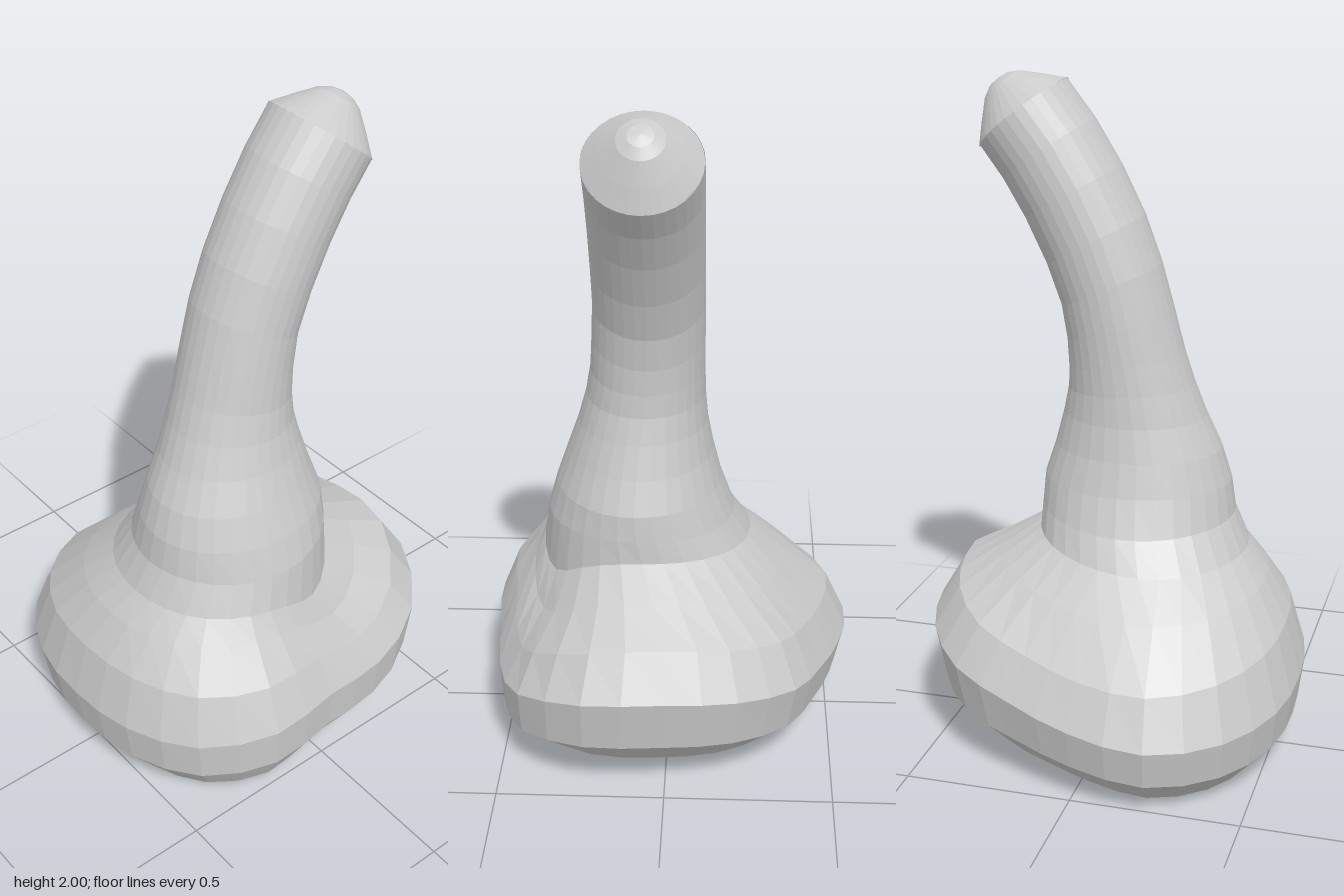
import * as THREE from 'three';

const SIDES = 32;

// Plan outline of the base: radii every 22.5 degrees from +x towards +z
const OUTLINE = [0.535, 0.6, 0.622, 0.596, 0.576, 0.592, 0.612, 0.604,
  0.53, 0.505, 0.54, 0.555, 0.567, 0.612, 0.61, 0.557];
const outline = new THREE.CatmullRomCurve3(OUTLINE.map((r, i) => {
  const t = (i / OUTLINE.length) * Math.PI * 2;
  return new THREE.Vector3(r * Math.cos(t) / 0.562, 0, r * Math.sin(t) / 0.578);
}), true);

// Closed ring from its four extremes: [front z, y], [back z, y], [left x, y], [right x, y].
// w blends an ellipse into the plan outline; dip lowers the hollow at the back of the +x side.
function ring([fz, fy, bz, by, lx, ly, rx, ry, w = 0, dip = 0]) {
  const pts = [];
  const cx = (lx + rx) / 2, cz = (fz + bz) / 2;
  const mean = (fy + by + ly + ry) / 4, q = (fy + by - ly - ry) / 4;
  for (let j = 0; j < SIDES; j++) {
    const t = (j / SIDES) * Math.PI * 2, c = Math.cos(t), s = Math.sin(t);
    const u = outline.getPoint(j / SIDES);
    const off = Math.atan2(Math.sin(t + 0.52), Math.cos(t + 0.52)) / 0.5;
    pts.push(new THREE.Vector3(
      cx + (rx - lx) / 2 * THREE.MathUtils.lerp(c, u.x, w),
      mean + (fy - by) / 2 * s + (ry - ly) / 2 * c + q * (s * s - c * c) - dip * Math.exp(-off * off),
      cz + (fz - bz) / 2 * THREE.MathUtils.lerp(s, u.z, w)));
  }
  return pts;
}

// Skin a stack of rings, optionally closing the first one.
function loft(rows, closeBottom) {
  const rings = rows.map(ring), pos = [], idx = [];
  rings.forEach(r => r.forEach(p => pos.push(p.x, p.y, p.z)));
  for (let i = 0; i < rings.length - 1; i++) {
    for (let j = 0; j < SIDES; j++) {
      const n = (j + 1) % SIDES;
      const a = i * SIDES + j, b = i * SIDES + n, c = b + SIDES, d = a + SIDES;
      idx.push(a, d, c, a, c, b);
    }
  }
  if (closeBottom) {
    const mid = pos.length / 3;
    const m = rings[0].reduce((v, p) => v.add(p), new THREE.Vector3()).divideScalar(SIDES);
    pos.push(m.x, m.y, m.z);
    for (let j = 0; j < SIDES; j++) idx.push(mid, j, (j + 1) % SIDES);
  }
  const g = new THREE.BufferGeometry();
  g.setAttribute('position', new THREE.Float32BufferAttribute(pos, 3));
  g.setIndex(idx);
  g.computeVertexNormals();
  return g;
}

export function createModel() {
  const group = new THREE.Group();
  const mat = new THREE.MeshStandardMaterial({ color: 0xcccccc, flatShading: true, side: THREE.DoubleSide });
  const add = (name, geo) => {
    const m = new THREE.Mesh(geo, mat);
    m.name = name;
    group.add(m);
    return m;
  };

  // Bulbous base with a shelf at the back and a hollow beside it
  const collar = [0.39, 0.6, -0.25, 0.65, -0.25, 0.6, 0.395, 0.61, 0.2, 0.09];
  add('base', loft([
    [0.48, 0.0, -0.4, 0.06, -0.45, 0.02, 0.5, 0.06, 1, 0.01],
    [0.56, 0.1, -0.55, 0.21, -0.54, 0.11, 0.555, 0.17, 1, 0.06],
    [0.578, 0.23, -0.58, 0.38, -0.565, 0.23, 0.562, 0.31, 1, 0.08],
    [0.53, 0.4, -0.5, 0.51, -0.5, 0.36, 0.505, 0.44, 1, 0.11],
    [0.455, 0.52, -0.37, 0.58, -0.36, 0.5, 0.435, 0.54, 0.6, 0.11],
    collar,
  ], true));

  // Flared neck that bends backward into a round stem
  const neck = [
    collar,
    [0.345, 0.7, -0.247, 0.72, -0.195, 0.69, 0.373, 0.7],
    [0.33, 0.8, -0.242, 0.8, -0.155, 0.8, 0.345, 0.8],
    [0.3, 0.9, -0.208, 0.9, -0.13, 0.9, 0.31, 0.9],
    [0.255, 1.0, -0.18, 1.0, -0.112, 1.0, 0.275, 1.0],
    [0.218, 1.1, -0.162, 1.08, -0.105, 1.09, 0.25, 1.09],
  ];
  const stem = [
    [0.187, 1.2, -0.159, 1.15], [0.153, 1.33, -0.162, 1.23], [0.117, 1.46, -0.178, 1.33],
    [0.065, 1.6, -0.222, 1.45], [-0.005, 1.74, -0.285, 1.58], [-0.085, 1.87, -0.35, 1.69],
    [-0.17, 1.98, -0.42, 1.785],
  ].map(([fz, fy, bz, by], i) => {
    const y = (fy + by) / 2;
    return [fz, fy, bz, by, -0.103, y, i < 2 ? 0.235 - i * 0.007 : 0.222, y];
  });
  add('stem', loft([...neck, ...stem], false));

  // Blunt cone closing the tilted stem end
  const profile = [[0.162, 0], [0.115, 0.05], [0.065, 0.1], [0.035, 0.117], [0, 0.123]];
  const tip = add('stemTip', new THREE.LatheGeometry(profile.map(p => new THREE.Vector2(...p)), SIDES));
  tip.position.set(0.06, 1.88, -0.295);
  tip.rotation.x = -Math.atan2(0.2, 0.25);

  return group;
}
